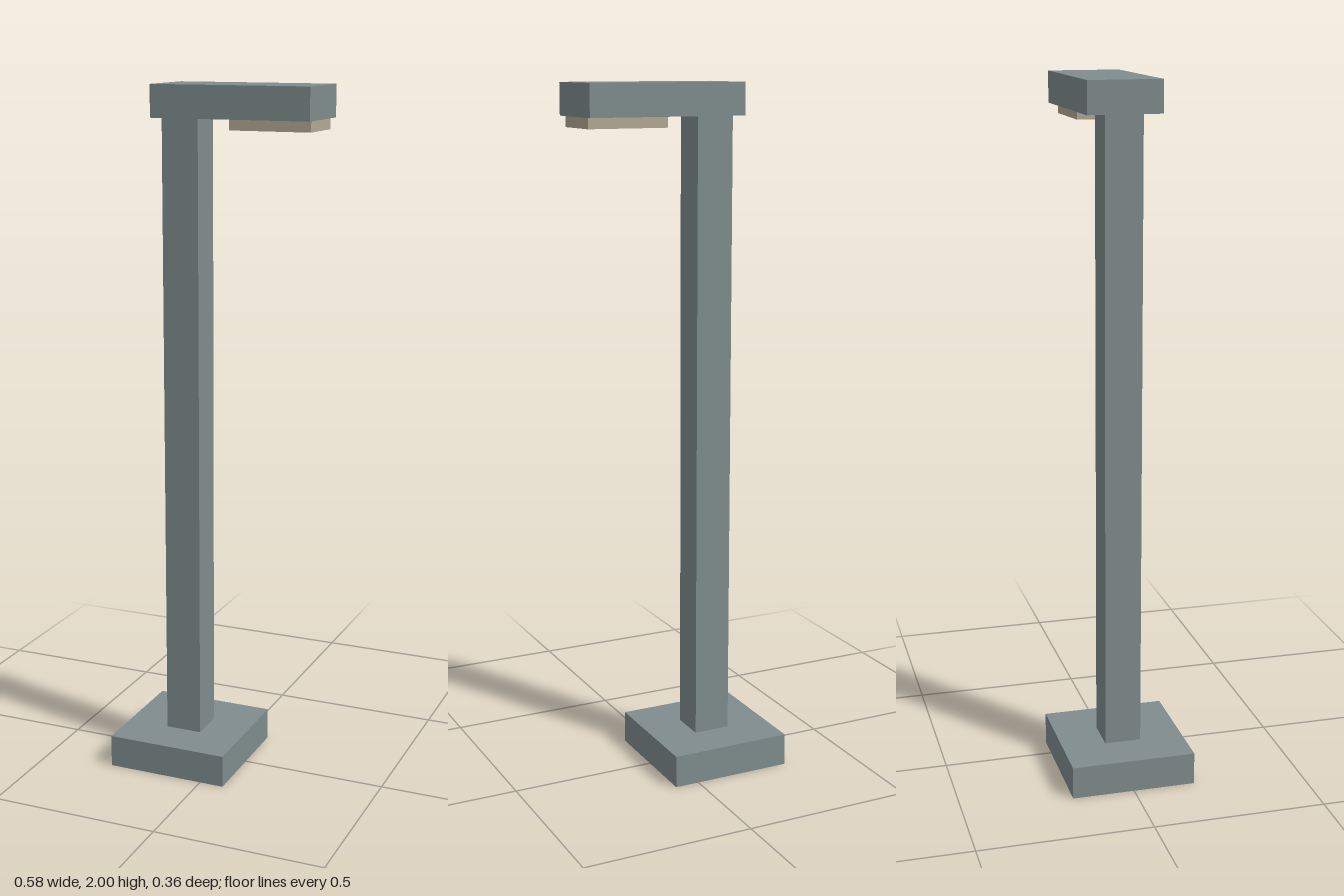
import * as THREE from 'three';

export function createModel() {
  const group = new THREE.Group();
  const metal = new THREE.MeshStandardMaterial({ color: 0x7f8c8d });
  metal.name = 'grey metal';
  const glow = new THREE.MeshStandardMaterial({ color: 0xb3a894 });
  glow.name = 'warm lamp panel';

  // Box from its x and y ranges, centred on z
  function block(name, material, x0, x1, y0, y1, depth) {
    const mesh = new THREE.Mesh(new THREE.BoxGeometry(x1 - x0, y1 - y0, depth), material);
    mesh.position.set((x0 + x1) / 2, (y0 + y1) / 2, 0);
    mesh.name = name;
    group.add(mesh);
  }

  block('base', metal, -0.289, 0.072, 0, 0.095, 0.361);
  block('post', metal, -0.163, -0.055, 0.095, 1.91, 0.106);
  block('lampHead', metal, -0.174, 0.288, 1.91, 2, 0.209);
  block('lampPanel', glow, 0.048, 0.282, 1.88, 1.91, 0.155);

  return group;
}
